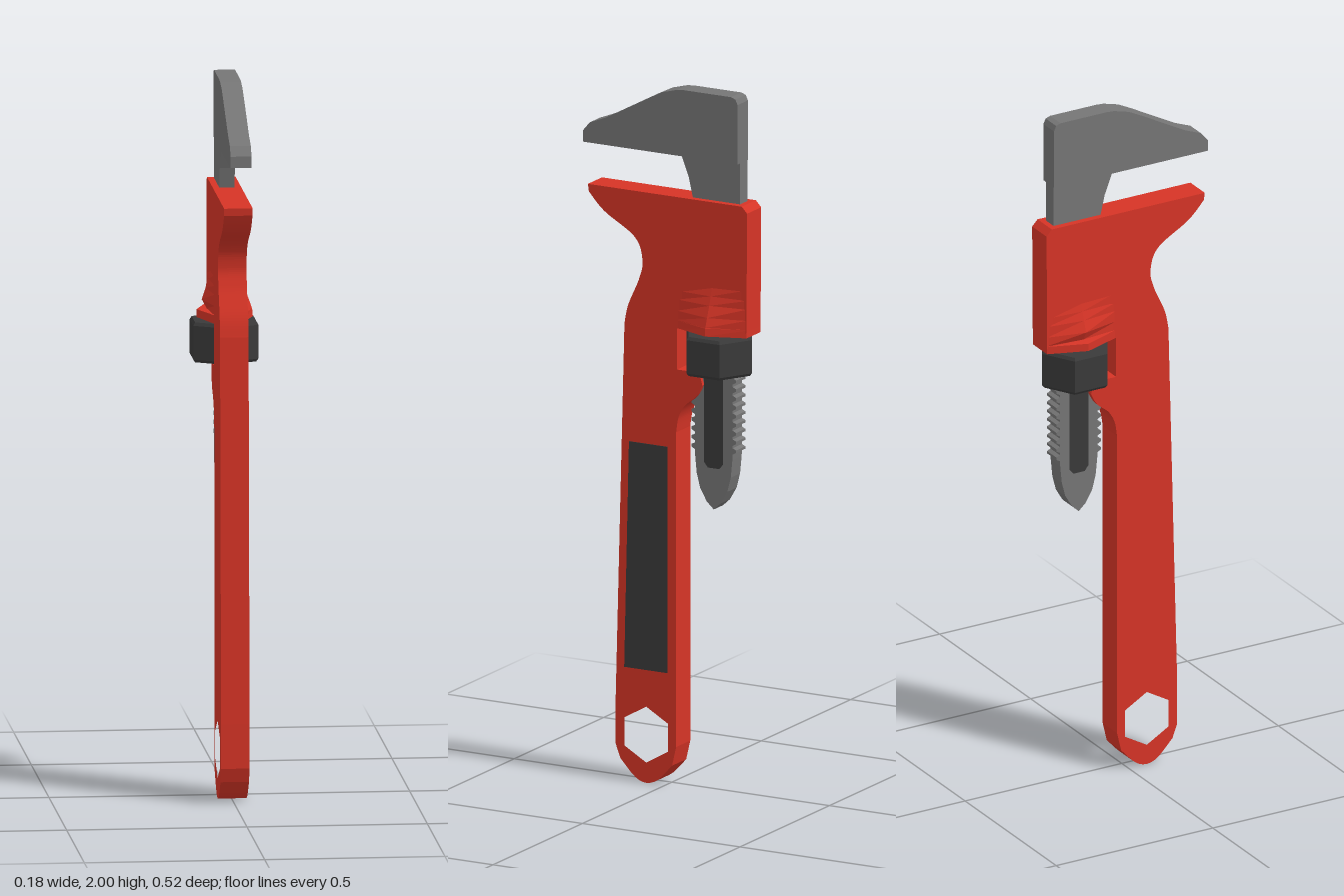
import * as THREE from 'three';

const mat = (color) => new THREE.MeshStandardMaterial({ color, flatShading: true, roughness: 0.7 });
const red = mat(0xd63426), steel = mat(0x757575), dark = mat(0x3a3a3a);
const SCREW_Z = -0.15;

// Side profile given as (z, y) points, extruded across x from x0 to x1
function slab(name, shape, x0, x1, material) {
  const geo = new THREE.ExtrudeGeometry(shape, { depth: x1 - x0, bevelEnabled: false, curveSegments: 8 });
  geo.rotateY(-Math.PI / 2).translate(x1, 0, 0);
  const mesh = new THREE.Mesh(geo, material);
  mesh.name = name;
  return mesh;
}

const pts = (list) => list.map(([z, y]) => new THREE.Vector2(z, y));
const poly = (list) => new THREE.Shape(pts(list));

// Handle, lower jaw and thumb hook in one outline, with a hexagonal hanging hole
function bodyShape() {
  const s = new THREE.Shape();
  s.moveTo(-0.245, 1.693);
  s.lineTo(0.243, 1.693);
  s.lineTo(0.24, 1.672);
  s.splineThru(pts([[0.19, 1.622], [0.095, 1.562], [0.07, 1.5], [0.08, 1.445], [0.115, 1.365], [0.127, 1.31]]));
  s.lineTo(0.155, 0.23);
  s.lineTo(0.155, 0.105);
  s.lineTo(0.14, 0.065);
  s.lineTo(0.105, 0.028);
  s.quadraticCurveTo(0.058, -0.018, 0.01, 0.028);
  s.lineTo(-0.024, 0.065);
  s.lineTo(-0.037, 0.12);
  s.lineTo(-0.037, 1.02);
  s.splineThru(pts([[-0.045, 1.065], [-0.065, 1.1], [-0.1, 1.13], [-0.12, 1.165]]));
  s.lineTo(-0.11, 1.2);
  s.lineTo(-0.04, 1.2);
  s.lineTo(-0.04, 1.318);
  s.lineTo(-0.25, 1.318);
  s.lineTo(-0.26, 1.335);
  s.lineTo(-0.262, 1.675);
  const hole = [];
  for (let i = 0; i < 6; i++) {
    const a = (i * Math.PI) / 3;
    hole.push([0.058 + 0.08 * Math.sin(a), 0.143 + 0.08 * Math.cos(a)]);
  }
  s.holes.push(new THREE.Path(pts(hole)));
  return s;
}

// Threaded rack: zigzag teeth on both edges and a pointed end
function rackShape() {
  const half = [[0.06, 1.4], [0.06, 1.2]];
  for (let i = 0; i < 9; i++) {
    const y = 1.195 - i * 0.025;
    half.push([0.06, y], [0.071, y - 0.005], [0.071, y - 0.012], [0.06, y - 0.018]);
  }
  half.push([0.059, 0.96], [0.054, 0.91], [0.043, 0.868], [0.022, 0.832], [0, 0.812]);
  const other = half.slice(0, -1).reverse().map(([z, y]) => [-z, y]);
  return poly([...half, ...other].map(([z, y]) => [z + SCREW_Z, y]));
}

// Flared ridge on each side of the head: rows are [y, right reach, left reach]
function flare() {
  const rows = [
    [1.318, 0.076, 0.08], [1.34, 0.076, 0.078], [1.342, 0.048, 0.077], [1.368, 0.062, 0.068],
    [1.4, 0.051, 0.055], [1.425, 0.043, 0.047], [1.455, 0.036, 0.039],
  ];
  const verts = [], index = [];
  for (const [y, r, l] of rows) {
    verts.push(-0.037, y, -0.04, l > 0.04 ? 0.04 : 0.039, y, -0.04, l, y, SCREW_Z);
    verts.push(0.04, y, -0.26, -0.037, y, -0.26, -r, y, SCREW_Z);
  }
  for (let i = 0; i < rows.length - 1; i++) {
    for (let j = 0; j < 6; j++) {
      const a = i * 6 + j, b = i * 6 + ((j + 1) % 6);
      index.push(a, b, b + 6, a, b + 6, a + 6);
    }
  }
  for (let j = 1; j < 5; j++) index.push(0, j + 1, j);
  const geo = new THREE.BufferGeometry();
  geo.setAttribute('position', new THREE.Float32BufferAttribute(verts, 3));
  geo.setIndex(index);
  geo.computeVertexNormals();
  const mesh = new THREE.Mesh(geo, red);
  mesh.name = 'headFlare';
  return mesh;
}

export function createModel() {
  const group = new THREE.Group();
  group.name = 'adjustableWrench';

  group.add(slab('handleAndLowerJaw', bodyShape(), -0.038, 0.041, red));
  group.add(flare());

  // Grip inlay on the left face only
  const grip = poly([[-0.01, 0.328], [0.127, 0.328], [0.112, 0.975], [-0.01, 0.975]]);
  group.add(slab('gripInlay', grip, 0.03, 0.0425, dark));

  // Sliding upper jaw and its neck
  const jaw = poly([
    [0.262, 1.81], [0.262, 1.842], [0.24, 1.868], [0.19, 1.888], [0.053, 1.963], [0.01, 1.985],
    [-0.037, 1.998], [-0.06, 2], [-0.208, 2], [-0.222, 1.995], [-0.229, 1.98], [-0.229, 1.81],
  ]);
  group.add(slab('upperJaw', jaw, -0.022, 0.036, steel));
  const neck = poly([[-0.042, 1.812], [-0.229, 1.812], [-0.229, 1.6], [-0.085, 1.6], [-0.08, 1.69], [-0.066, 1.75]]);
  group.add(slab('jawNeck', neck, -0.02, 0.022, steel));

  // Threaded rack with a dark groove on both faces
  group.add(slab('threadedRack', rackShape(), -0.022, 0.03, steel));
  const groove = poly([[-0.12, 1.25], [-0.18, 1.25], [-0.18, 0.945], [-0.168, 0.93], [-0.132, 0.93], [-0.12, 0.945]]);
  group.add(slab('rackGroove', groove, -0.0235, 0.0315, dark));

  // Hexagonal adjusting nut with chamfered rims
  const nutProfile = [[0, 1.2], [0.098, 1.2], [0.104, 1.208], [0.104, 1.303], [0.098, 1.312], [0, 1.312]];
  const nut = new THREE.Mesh(new THREE.LatheGeometry(pts(nutProfile), 6), dark);
  nut.name = 'adjustingNut';
  nut.position.z = SCREW_Z;
  group.add(nut);

  return group;
}
